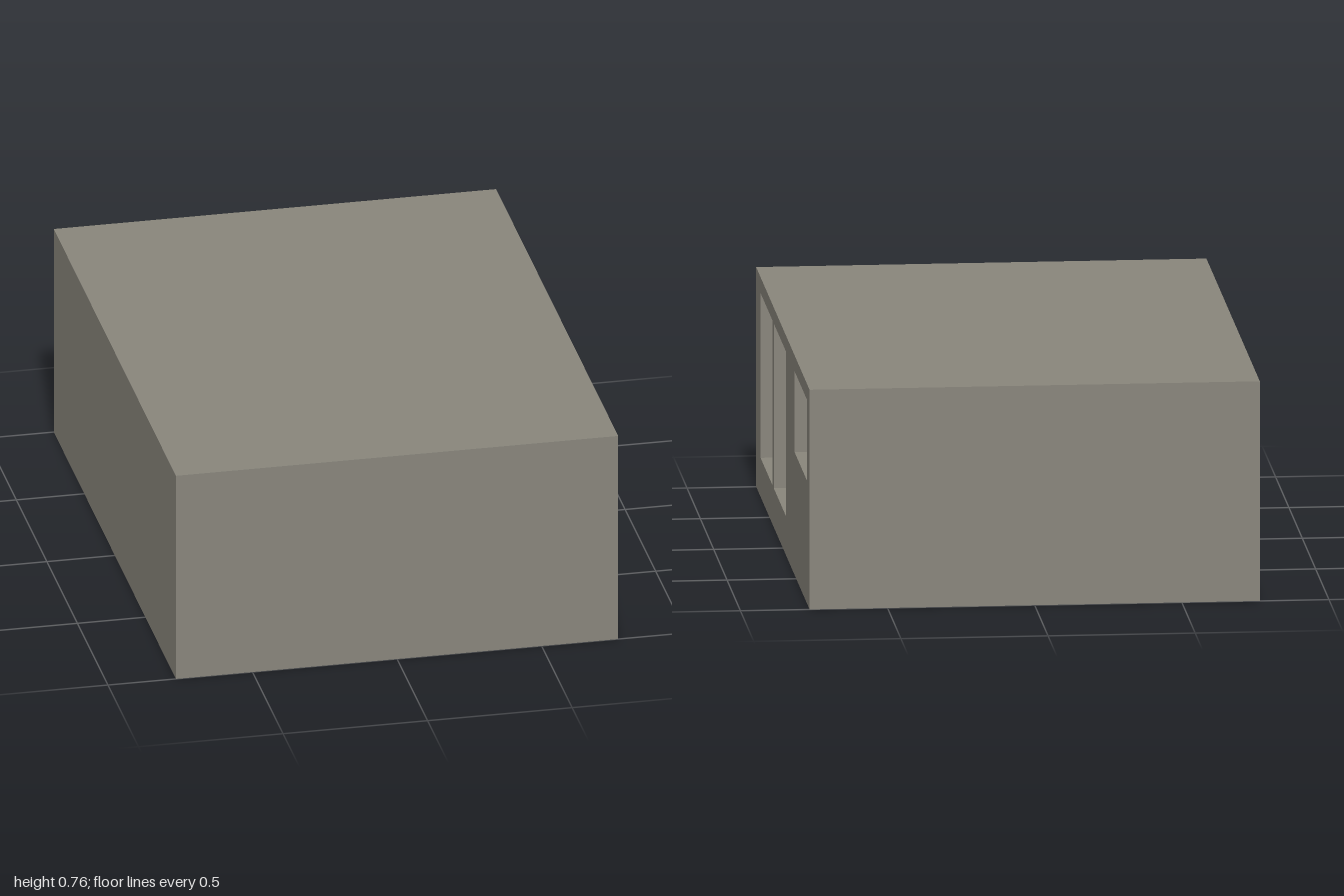
import * as THREE from 'three';

const W = 1.53, H = 0.76, D = 2;   // overall size
const REVEAL = 0.06;               // depth of the opening linings

export function createModel() {
  const group = new THREE.Group();
  const concrete = new THREE.MeshStandardMaterial({ color: 0x88857b, side: THREE.DoubleSide });
  concrete.name = 'concrete';

  const add = (name, geometry, parent = group) => {
    const mesh = new THREE.Mesh(geometry, concrete);
    mesh.name = name;
    parent.add(mesh);
    return mesh;
  };
  const panel = (name, w, h, pos, rot, parent) => {
    const mesh = add(name, new THREE.PlaneGeometry(w, h), parent);
    mesh.position.set(...pos);
    mesh.rotation.set(...rot);
  };

  // Thin shell, open underneath
  const q = Math.PI / 2;
  panel('roof', W, D, [0, H, 0], [-q, 0, 0]);
  panel('frontWall', W, H, [0, H / 2, D / 2], [0, 0, 0]);
  panel('backWall', W, H, [0, H / 2, -D / 2], [0, 2 * q, 0]);
  panel('leftBlankWall', D, H, [-W / 2, H / 2, 0], [0, -q, 0]);

  // Openings in the +x wall: z from, z to, y from, y to
  const openings = [
    ['frontDoorway', 0.38, 0.835, 0.135, 0.705],
    ['middleDoorway', -0.115, 0.34, 0.135, 0.705],
    ['rearWindow', -0.895, -0.44, 0.425, 0.705],
  ];

  // Pierced wall, drawn with shape x = -z
  const wall = new THREE.Shape([[-1, 0], [1, 0], [1, H], [-1, H]].map(p => new THREE.Vector2(...p)));
  for (const [, z0, z1, y0, y1] of openings) {
    wall.holes.push(new THREE.Path(
      [[-z1, y0], [-z1, y1], [-z0, y1], [-z0, y0]].map(p => new THREE.Vector2(...p))));
  }
  add('piercedWall', new THREE.ShapeGeometry(wall).rotateY(q).translate(W / 2, 0, 0));

  // Linings running inward around each opening
  for (const [name, z0, z1, y0, y1] of openings) {
    const lining = new THREE.Group();
    lining.name = name + 'Lining';
    const x = W / 2 - REVEAL / 2, zc = (z0 + z1) / 2, yc = (y0 + y1) / 2;
    panel('sill', REVEAL, z1 - z0, [x, y0, zc], [-q, 0, 0], lining);
    panel('head', REVEAL, z1 - z0, [x, y1, zc], [q, 0, 0], lining);
    panel('rearJamb', REVEAL, y1 - y0, [x, yc, z0], [0, 0, 0], lining);
    panel('frontJamb', REVEAL, y1 - y0, [x, yc, z1], [0, 2 * q, 0], lining);
    group.add(lining);
  }
  return group;
}
